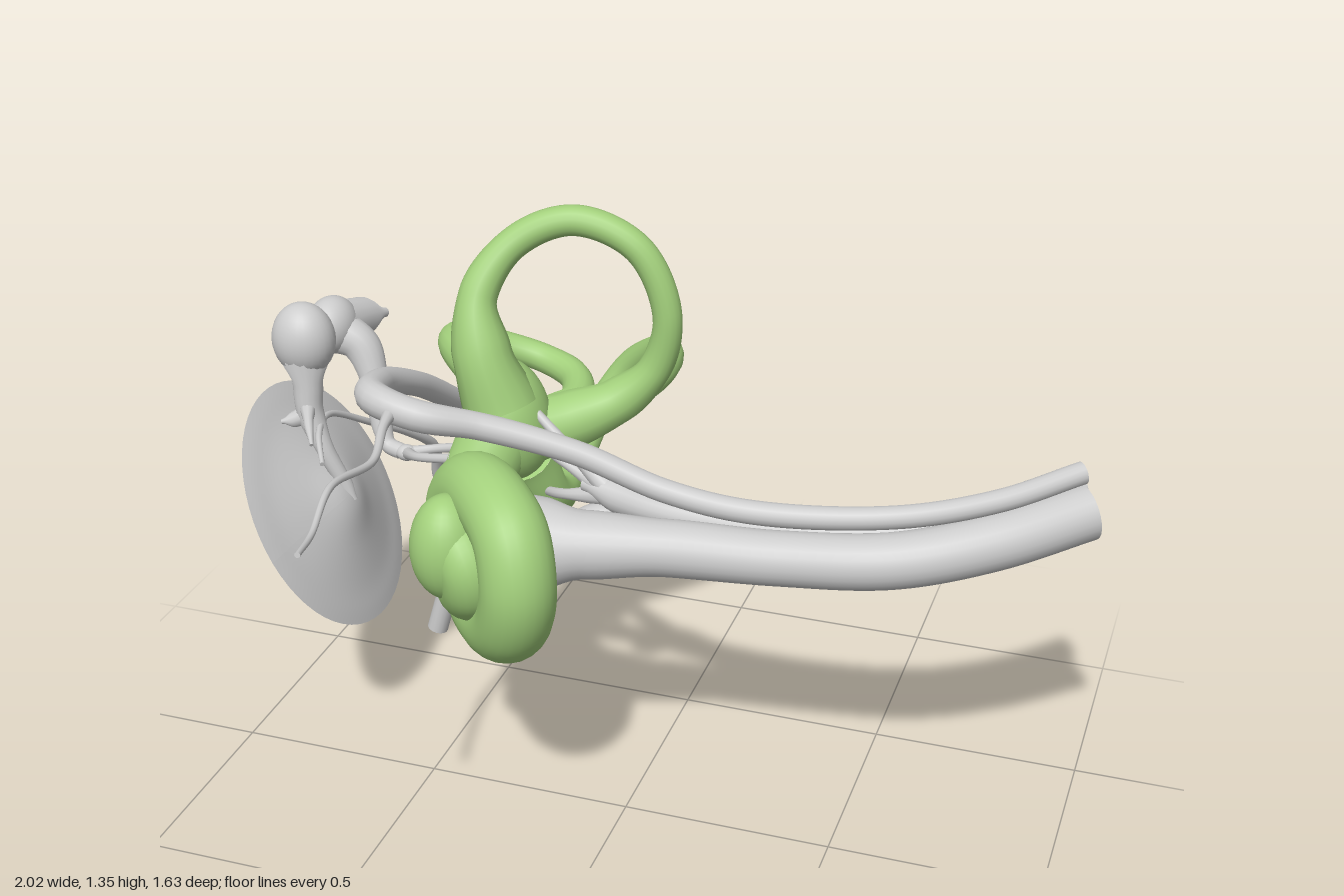
import * as THREE from 'three';
import { mergeGeometries } from 'three/addons/utils/BufferGeometryUtils.js';

const V = (x, y, z) => new THREE.Vector3(x, y, z);

// Smooth tube through [x, y, z, radius] points, closed with flat caps
function tubeGeometry(pts, segments, sides) {
  const curve = new THREE.CatmullRomCurve3(pts.map(p => V(p[0], p[1], p[2])));
  const radii = pts.map(p => p[3]);
  const radiusAt = u => {
    const t = curve.getUtoTmapping(u) * (radii.length - 1);
    const i = Math.min(Math.floor(t), radii.length - 2);
    return THREE.MathUtils.lerp(radii[i], radii[i + 1], THREE.MathUtils.smoothstep(t - i, 0, 1));
  };
  const tube = new THREE.TubeGeometry(curve, segments, 1, sides);
  const pos = tube.attributes.position, v = V(0, 0, 0);
  for (let i = 0; i <= segments; i++) {
    const c = curve.getPointAt(i / segments), r = radiusAt(i / segments);
    for (let j = 0; j <= sides; j++) {
      const k = i * (sides + 1) + j;
      v.fromBufferAttribute(pos, k).sub(c).multiplyScalar(r).add(c);
      pos.setXYZ(k, v.x, v.y, v.z);
    }
  }
  const caps = [0, 1].map(u => {
    const dir = curve.getTangentAt(u).multiplyScalar(u ? 1 : -1);
    const p = curve.getPointAt(u);
    return new THREE.CircleGeometry(radiusAt(u), sides)
      .applyQuaternion(new THREE.Quaternion().setFromUnitVectors(V(0, 0, 1), dir))
      .translate(p.x, p.y, p.z);
  });
  return mergeGeometries([tube, ...caps]);
}

export function createModel() {
  const model = new THREE.Group();
  const green = new THREE.MeshStandardMaterial({ name: 'labyrinth green', color: 0xa3d07c });
  const grey = new THREE.MeshStandardMaterial({ name: 'pale grey', color: 0xcccccc });
  const drumGrey = new THREE.MeshStandardMaterial({ name: 'membrane grey', color: 0xcccccc, side: THREE.DoubleSide });

  const add = (name, geometry, material) => {
    const mesh = new THREE.Mesh(geometry, material);
    mesh.name = name;
    model.add(mesh);
    return mesh;
  };
  const tube = (name, material, pts, segments = 64, sides = 16) =>
    add(name, tubeGeometry(pts, segments, sides), material);
  const blob = (name, material, [x, y, z], [a, b, c], tilt = 0) => {
    const mesh = add(name, new THREE.SphereGeometry(1, 28, 20), material);
    mesh.position.set(x, y, z);
    mesh.scale.set(a, b, c);
    mesh.rotation.z = tilt;
    return mesh;
  };

  // Cochlea: a spiral narrowing toward its apex
  const n = V(-0.77, 0, 0.64), u = V(0.64, 0, 0.77);
  const spiral = [[-0.39, 0.83, -0.21, 0.09], [-0.43, 0.7, -0.13, 0.08]];
  for (let a = 1.2; a <= 5.2; a += 0.2) {
    const s = THREE.MathUtils.clamp((a - 2.2) / 3, 0, 1);
    const r = THREE.MathUtils.lerp(0.2, 0.03, Math.pow(s, 0.65));
    const p = V(-0.28, 0.725 + r * 0.87 * Math.sin(a * Math.PI), 0.12)
      .addScaledVector(u, r * Math.cos(a * Math.PI))
      .addScaledVector(n, 0.12 * s);
    spiral.push([p.x, p.y, p.z, THREE.MathUtils.lerp(0.085, 0.06, s)]);
  }
  tube('cochlea', green, spiral, 180, 24);
  blob('cochleaApex', green, [-0.345, 0.755, 0.2], [0.085, 0.125, 0.09]);

  // Vestibule
  blob('vestibule', green, [-0.37, 0.86, -0.25], [0.095, 0.15, 0.11], 0.2);

  // Semicircular canals, each with a swollen root
  tube('anteriorCanal', green, [
    [-0.38, 0.9, -0.22, 0.09], [-0.43, 1.03, -0.23, 0.07], [-0.455, 1.15, -0.28, 0.046],
    [-0.39, 1.26, -0.355, 0.038], [-0.26, 1.312, -0.4, 0.036], [-0.11, 1.255, -0.415, 0.035],
    [-0.04, 1.1, -0.42, 0.035], [-0.07, 0.96, -0.42, 0.04], [-0.15, 0.88, -0.39, 0.055],
    [-0.25, 0.84, -0.33, 0.07], [-0.35, 0.82, -0.26, 0.08]], 110);
  tube('posteriorCanal', green, [
    [-0.17, 0.87, -0.38, 0.05], [-0.1, 0.905, -0.46, 0.04], [-0.09, 0.91, -0.58, 0.038],
    [-0.14, 0.885, -0.7, 0.038], [-0.25, 0.79, -0.775, 0.04], [-0.32, 0.68, -0.745, 0.04],
    [-0.335, 0.605, -0.63, 0.04], [-0.32, 0.59, -0.48, 0.043], [-0.31, 0.63, -0.34, 0.055],
    [-0.34, 0.76, -0.26, 0.07]], 110);
  tube('lateralCanal', green, [
    [-0.39, 0.92, -0.25, 0.08], [-0.5, 0.95, -0.34, 0.055], [-0.585, 0.95, -0.44, 0.045],
    [-0.59, 0.925, -0.53, 0.038], [-0.52, 0.89, -0.585, 0.036], [-0.42, 0.86, -0.605, 0.036],
    [-0.325, 0.845, -0.56, 0.038], [-0.28, 0.835, -0.46, 0.042], [-0.29, 0.83, -0.35, 0.06],
    [-0.35, 0.83, -0.27, 0.07]], 110);

  // Nerves running out to the side
  tube('cochlearNerve', grey, [
    [-0.27, 0.725, 0.09, 0.13], [-0.18, 0.725, 0.07, 0.105], [-0.08, 0.725, 0.045, 0.078],
    [0.1, 0.73, 0.01, 0.065], [0.35, 0.735, -0.015, 0.062], [0.6, 0.755, -0.05, 0.063],
    [0.8, 0.79, -0.14, 0.064], [0.98, 0.83, -0.27, 0.064]], 70, 24);
  tube('vestibularNerve', grey, [
    [-0.16, 0.76, -0.18, 0.02], [-0.06, 0.75, -0.155, 0.042], [0.06, 0.745, -0.125, 0.036],
    [0.35, 0.745, -0.12, 0.036], [0.6, 0.765, -0.16, 0.036], [0.8, 0.795, -0.265, 0.037],
    [0.945, 0.83, -0.39, 0.037]]);
  const branches = [
    ['upperVestibularBranch', -0.34, 0.93, -0.24], ['middleVestibularBranch', -0.3, 0.83, -0.22],
    ['lowerVestibularBranch', -0.32, 0.66, -0.3]];
  for (const [name, x, y, z] of branches)
    tube(name, grey, [[x, y, z, 0.01], [-0.22, (y + 0.76) / 2, -0.2, 0.013], [-0.08, 0.75, -0.16, 0.028]], 20, 10);
  blob('lowerGanglion', grey, [-0.13, 0.69, -0.15], [0.06, 0.03, 0.035], 0.4);

  tube('facialNerve', grey, [
    [0.96, 0.925, -0.265, 0.026], [0.8, 0.89, -0.14, 0.026], [0.6, 0.867, -0.04, 0.026],
    [0.3, 0.857, 0.018, 0.027], [0.1, 0.878, 0.022, 0.027], [-0.1, 0.945, 0.035, 0.028],
    [-0.3, 1.0, 0.085, 0.031], [-0.43, 1.035, 0.145, 0.036], [-0.54, 1.053, 0.125, 0.038],
    [-0.582, 1.03, 0, 0.032], [-0.575, 0.95, -0.18, 0.03], [-0.56, 0.82, -0.38, 0.029],
    [-0.555, 0.73, -0.52, 0.028], [-0.575, 0.62, -0.6, 0.028], [-0.64, 0.4, -0.615, 0.028],
    [-0.755, 0.005, -0.62, 0.028]], 150);
  tube('petrosalNerve', grey, [
    [-0.485, 1.045, 0.14, 0.02], [-0.475, 1.035, 0.22, 0.011], [-0.44, 1.02, 0.35, 0.009],
    [-0.44, 1.055, 0.55, 0.008], [-0.41, 1.03, 0.7, 0.007], [-0.385, 1.045, 0.81, 0.006]], 60, 10);
  tube('tympanicCord', grey, [
    [-0.675, 0.265, -0.625, 0.017], [-0.73, 0.262, -0.71, 0.018], [-0.775, 0.31, -0.762, 0.018],
    [-0.782, 0.42, -0.73, 0.016], [-0.765, 0.53, -0.675, 0.014], [-0.785, 0.62, -0.56, 0.011],
    [-0.82, 0.7, -0.43, 0.009], [-0.855, 0.79, -0.27, 0.008], [-0.82, 0.8, -0.14, 0.008],
    [-0.77, 0.77, -0.05, 0.006]], 80, 10);

  // Eardrum: shallow tilted cone with an oval rim
  const profile = [[0, 0.085], [0.15, 0.078], [0.4, 0.05], [0.7, 0.022], [0.9, 0.008], [1, 0]];
  const drum = new THREE.LatheGeometry(new THREE.SplineCurve(profile.map(p => new THREE.Vector2(...p))).getPoints(24), 56);
  drum.applyMatrix4(new THREE.Matrix4()
    .makeBasis(V(0.148, -0.272, 0), V(0.88, 0.48, 0), V(0.02, 0, 0.325)).setPosition(-0.85, 0.582, -0.205));
  drum.computeVertexNormals();
  add('eardrum', drum, drumGrey);

  // Malleus
  blob('malleusHead', grey, [-0.872, 1.015, -0.2], [0.077, 0.09, 0.07]);
  tube('malleusHandle', grey, [
    [-0.872, 0.99, -0.2, 0.065], [-0.868, 0.9, -0.195, 0.036], [-0.865, 0.83, -0.19, 0.033],
    [-0.83, 0.73, -0.19, 0.022], [-0.795, 0.65, -0.2, 0.02], [-0.775, 0.6, -0.205, 0.012]]);
  tube('malleusLateralProcess', grey, [[-0.865, 0.83, -0.19, 0.03], [-0.9, 0.81, -0.18, 0.02], [-0.935, 0.8, -0.175, 0.006]], 16, 12);
  tube('malleusFrontProcess', grey, [[-0.865, 0.85, -0.18, 0.02], [-0.84, 0.83, -0.13, 0.012], [-0.81, 0.8, -0.08, 0.005]], 16, 10);

  // Incus
  blob('incusBody', grey, [-0.85, 1.01, -0.31], [0.06, 0.07, 0.075]);
  tube('incusShortProcess', grey, [[-0.85, 1.01, -0.31, 0.06], [-0.83, 0.99, -0.42, 0.048], [-0.81, 0.965, -0.52, 0.012]], 30);
  tube('incusLongProcess', grey, [
    [-0.85, 1.0, -0.31, 0.055], [-0.785, 0.965, -0.32, 0.046], [-0.748, 0.88, -0.31, 0.035],
    [-0.728, 0.79, -0.29, 0.027], [-0.705, 0.73, -0.275, 0.02], [-0.665, 0.72, -0.265, 0.02]]);

  // Stapes: head, two legs and footplate
  blob('stapesHead', grey, [-0.65, 0.722, -0.26], [0.026, 0.02, 0.022]);
  for (const s of [-1, 1])
    tube(s < 0 ? 'stapesBackLeg' : 'stapesFrontLeg', grey, [
      [-0.65, 0.722, -0.26, 0.015], [-0.59, 0.74 + s * 0.01, -0.24 + s * 0.045, 0.011],
      [-0.47, 0.775 + s * 0.012, -0.205 + s * 0.06, 0.012]], 24, 10);
  const plate = blob('stapesFootplate', grey, [-0.465, 0.778, -0.205], [0.014, 0.04, 0.08], 0.25);
  plate.rotation.y = -0.2;

  return model;
}
